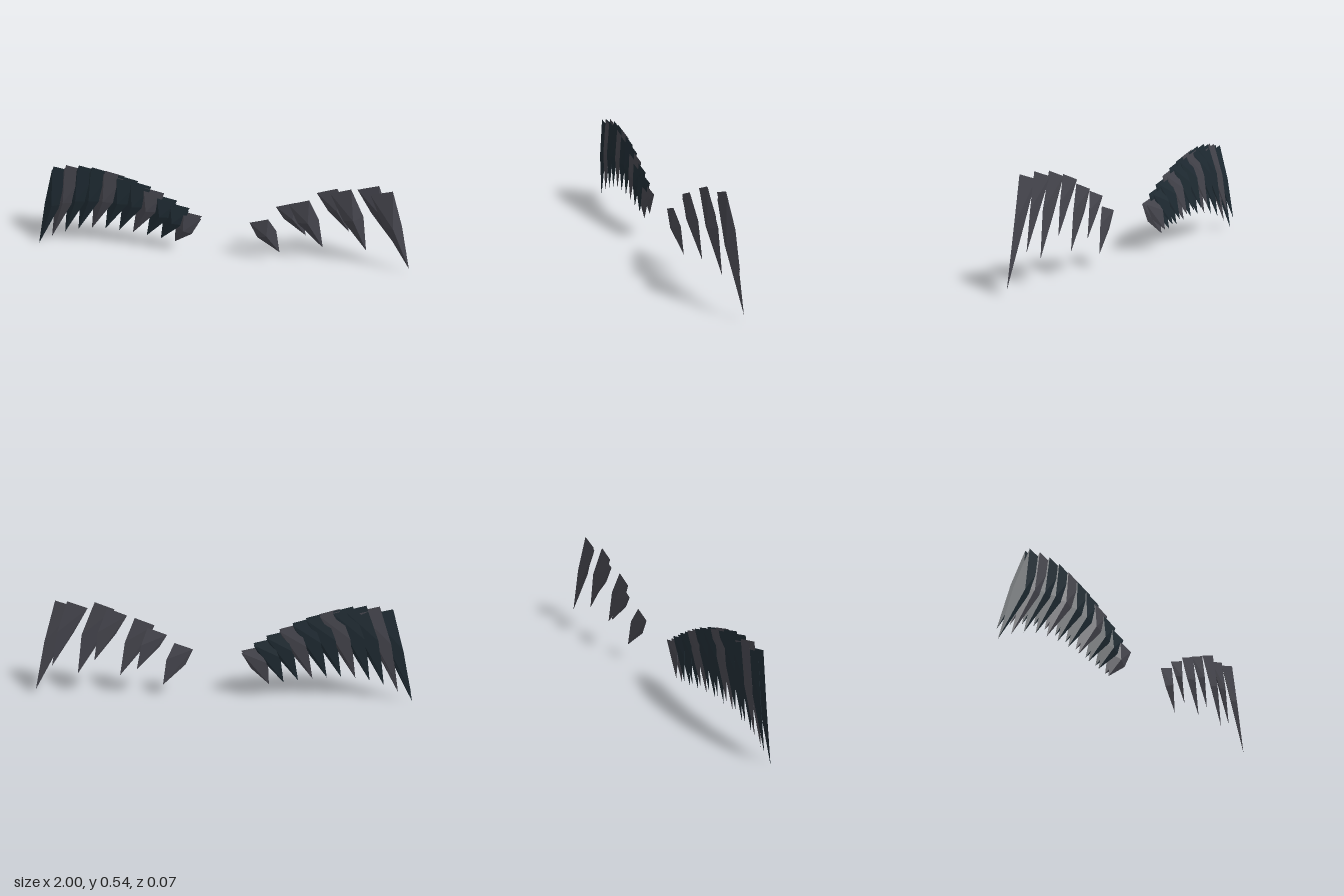
import * as THREE from 'three';

// Outline corners sampled at four stations along the wing: [x values, y values, z]
const OUTLINE = [
  [[0.158, 0.356, 0.559, 0.757], [0.283, 0.417, 0.503, 0.513], 0.021],  // inner root
  [[0.200, 0.404, 0.634, 0.842], [0.193, 0.305, 0.342, 0.321], 0.020],  // inner edge
  [[0.318, 0.543, 0.767, 0.998], [0.086, 0.139, 0.144, 0.046], -0.006], // tip
  [[0.297, 0.511, 0.735, 0.933], [0.230, 0.326, 0.364, 0.321], 0.003],  // outer edge
  [[0.254, 0.457, 0.660, 0.864], [0.316, 0.455, 0.540, 0.546], 0.025],  // outer root
];

// Cubic through four evenly spaced values
function cubic(v, u) {
  const d1 = v[1] - v[0];
  const d2 = v[2] - 2 * v[1] + v[0];
  const d3 = v[3] - 3 * v[2] + 3 * v[1] - v[0];
  return v[0] + u * d1 + (u * (u - 1) / 2) * d2 + (u * (u - 1) * (u - 2) / 6) * d3;
}

// One faceted feather: five-cornered flat back with a raised point in front
function featherGeometry(index, side, length, zShift) {
  const u = (index - 1) / 3;
  const ring = OUTLINE.map(([xs, ys, z]) => new THREE.Vector3(cubic(xs, u), cubic(ys, u), z));

  // shorten towards the root edge
  const root = ring[0].clone().add(ring[4]).multiplyScalar(0.5);
  for (const k of [1, 2, 3]) {
    ring[k].x = root.x + (ring[k].x - root.x) * (0.4 + 0.6 * length);
    ring[k].y = root.y + (ring[k].y - root.y) * length;
  }
  const ridge = ring[1].clone().add(ring[3]).multiplyScalar(0.5);
  ridge.z = 0.034;

  const points = [...ring, ridge];
  for (const p of points) {
    p.x *= side;
    p.z += zShift;
    if (side < 0) p.y += 0.09 * (p.x + 0.62); // the full wing droops outward
  }

  const index3 = [];
  const face = (a, b, c) => index3.push(...(side > 0 ? [a, b, c] : [a, c, b]));
  for (let k = 0; k < 5; k++) face(5, k, (k + 1) % 5);
  for (let k = 1; k < 4; k++) face(0, k + 1, k);

  const geometry = new THREE.BufferGeometry().setFromPoints(points);
  geometry.setIndex(index3);
  const flat = geometry.toNonIndexed();
  flat.computeVertexNormals();
  return flat;
}

export function createModel() {
  const grey = new THREE.MeshStandardMaterial({ color: 0x45454d, flatShading: true });
  grey.name = 'slate grey';
  const teal = new THREE.MeshStandardMaterial({ color: 0x1f2b33, flatShading: true });
  teal.name = 'dark teal';

  const model = new THREE.Group();
  model.name = 'featherWings';

  function addRow(name, indices, side, length, zShift) {
    const row = new THREE.Group();
    row.name = name;
    for (const i of indices) {
      const material = side > 0 || i % 3 === 0 ? grey : teal;
      const feather = new THREE.Mesh(featherGeometry(i, side, length, zShift), material);
      feather.name = `feather${i}`;
      row.add(feather);
    }
    model.add(row);
  }

  // Sparse left wing, full right wing, each in two layers
  const all = Array.from({ length: 11 }, (_, i) => i);
  addRow('leftFrontFeathers', [1, 4, 7, 10], 1, 1, 0);
  addRow('leftBackFeathers', [3, 6, 9], 1, 0.76, -0.028);
  addRow('rightFrontFeathers', all, -1, 1, 0);
  addRow('rightBackFeathers', all, -1, 0.87, -0.028);

  return model;
}
